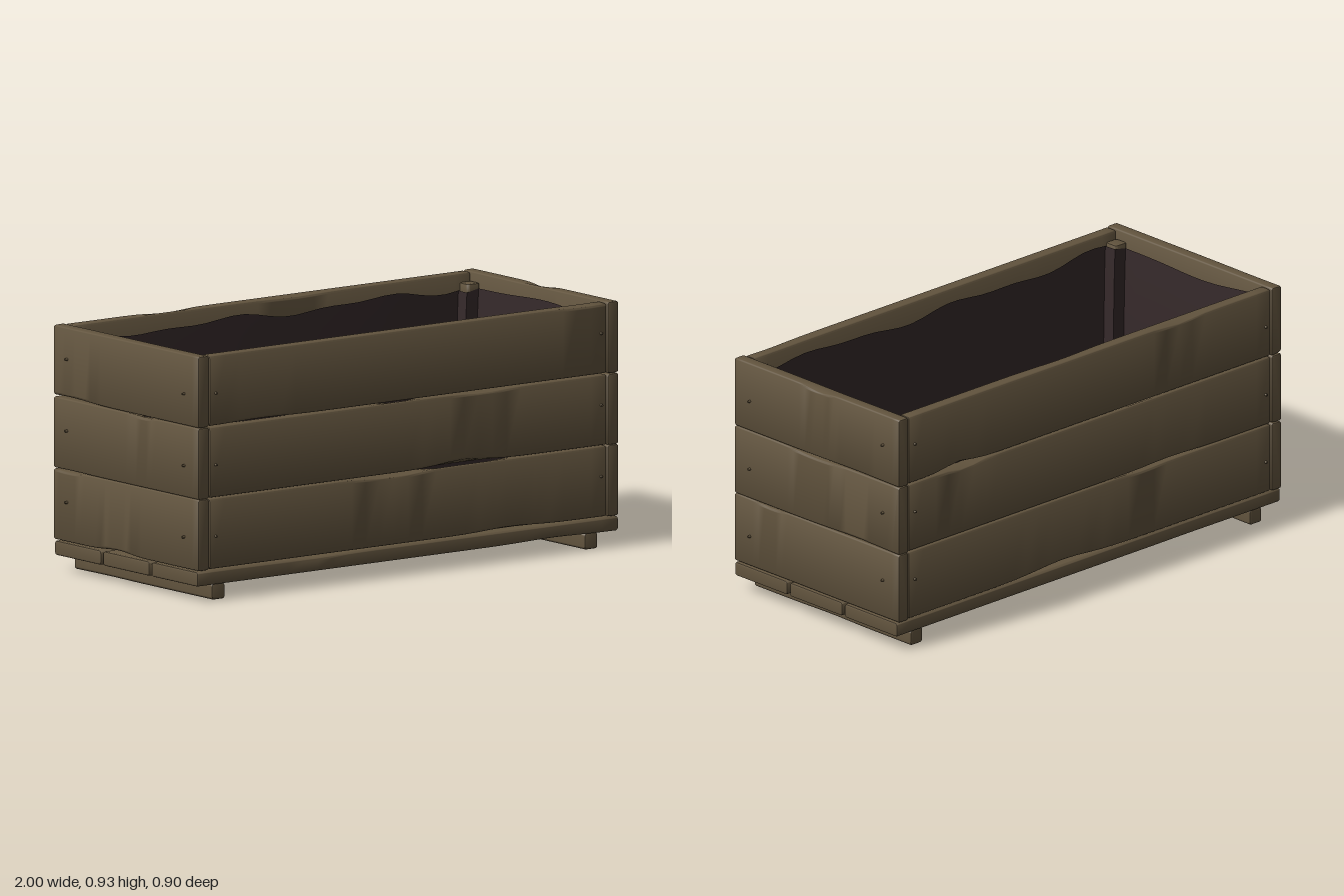
import * as THREE from 'three';
import { toCreasedNormals } from 'three/addons/utils/BufferGeometryUtils.js';

const wood = new THREE.MeshStandardMaterial({ color: 0x62543e });
wood.name = 'weathered wood';
const cloth = new THREE.MeshStandardMaterial({ color: 0x35292a, side: THREE.DoubleSide });
cloth.name = 'dark liner';

let seed = 7;
const rand = () => (seed = (seed * 16807) % 2147483647) / 2147483647;

// Board with softened edges, running along z, with slight hand-cut wear on its edges.
function plankGeometry(t, h, length, wear = 0.01) {
  const r = 0.011, b = 0.007, x = t / 2 - r, y = h / 2 - r;
  const s = new THREE.Shape();
  s.absarc(x, y, r, 0, Math.PI / 2);
  s.absarc(-x, y, r, Math.PI / 2, Math.PI);
  s.absarc(-x, -y, r, Math.PI, Math.PI * 1.5);
  s.absarc(x, -y, r, Math.PI * 1.5, Math.PI * 2);
  const g = new THREE.ExtrudeGeometry(s, {
    depth: length - 2 * b, steps: 28, curveSegments: 3,
    bevelSize: b, bevelThickness: b, bevelOffset: -b, bevelSegments: 2,
  });
  g.translate(0, 0, -length / 2 + b);
  // One worn patch on each of the four long edges
  const chips = [0, 1, 2, 3].map(() => ({
    at: (rand() - 0.5) * length * 0.9, width: 0.06 + rand() * 0.12, deep: wear * rand(),
  }));
  const p = g.attributes.position;
  for (let i = 0; i < p.count; i++) {
    const sx = Math.sign(p.getX(i)), sy = Math.sign(p.getY(i));
    const c = chips[(sx > 0 ? 1 : 0) + (sy > 0 ? 2 : 0)];
    const d = c.deep * Math.exp(-(((p.getZ(i) - c.at) / c.width) ** 2));
    p.setX(i, p.getX(i) - sx * d * 0.25);
    p.setY(i, p.getY(i) - sy * d);
  }
  return toCreasedNormals(g, 0.75);
}

function add(group, name, geometry, x, y, z, turn = 0, material = wood) {
  const m = new THREE.Mesh(geometry, material);
  m.name = name;
  m.position.set(x, y, z);
  m.rotation.y = turn;
  group.add(m);
  return m;
}

// Sagging liner that folds around the four corner posts
function linerGeometry() {
  const X = 0.925, Z = 0.382, px = 0.87, pz = 0.33;
  const corners = [
    [px, Z], [px, pz], [X, pz], [X, -pz], [px, -pz], [px, -Z],
    [-px, -Z], [-px, -pz], [-X, -pz], [-X, pz], [-px, pz], [-px, Z],
  ];
  const ring = [];
  corners.forEach(([x, z], i) => {
    const [x2, z2] = corners[(i + 1) % corners.length];
    const n = Math.max(2, Math.round(Math.hypot(x2 - x, z2 - z) / 0.06));
    for (let k = 0; k < n; k++) ring.push([x + (x2 - x) * k / n, z + (z2 - z) * k / n]);
  });
  // Height, inward scale and rim wave of each level
  const levels = [
    [0.875, 0, 1], [0.8, 0.006, 0.6], [0.6, 0.014, 0.3], [0.35, 0.022, 0],
    [0.18, 0.03, 0], [0.145, 0.05, 0], [0.135, 0.1, 0], [0.13, 1, 0],
  ];
  const pos = [], idx = [], N = ring.length;
  levels.forEach(([y, inset, wave], j) => {
    ring.forEach(([x, z], i) => {
      const sag = j < 7 ? 0.022 * Math.max(0, 1 - (x / 0.87) ** 2) * (Math.abs(z) > 0.36 ? 1 : 0) : 0;
      const ripple = Math.sin(x * 9 + z * 7) + 0.6 * Math.sin(x * 17 - z * 11);
      pos.push(
        x * (1 - inset),
        y + wave * 0.011 * ripple,
        (z - Math.sign(z) * sag) * (1 - inset),
      );
      if (j < levels.length - 1) {
        const a = j * N + i, b = j * N + (i + 1) % N;
        idx.push(a, b, a + N, b, b + N, a + N);
      }
    });
  });
  const g = new THREE.BufferGeometry();
  g.setAttribute('position', new THREE.Float32BufferAttribute(pos, 3));
  g.setIndex(idx);
  return toCreasedNormals(g, 0.9);
}

export function createModel() {
  seed = 7;
  const planter = new THREE.Group();
  planter.name = 'planter';
  const rows = [0.254, 0.524, 0.795];

  // Wall boards in three rows
  rows.forEach((y) => {
    for (const s of [1, -1]) {
      add(planter, 'sideBoard', plankGeometry(0.052, 0.266, 1.868, 0.016), 0, y, s * 0.415, -s * Math.PI / 2);
      add(planter, 'endBoard', plankGeometry(0.052, 0.27, 0.886), s * 0.963, y, 0);
    }
  });

  // Floor boards and the two runners under them
  for (const z of [0.298, 0.003, -0.292]) {
    add(planter, 'floorBoard', plankGeometry(0.282, 0.055, 1.98, 0.005), 0, 0.088, z, Math.PI / 2);
  }
  for (const s of [1, -1]) {
    add(planter, 'runner', plankGeometry(0.062, 0.062, 0.842, 0.005), s * 0.876, 0.031, 0);
  }

  // Corner posts
  for (const sx of [1, -1]) for (const sz of [1, -1]) {
    const post = add(planter, 'cornerPost', plankGeometry(0.058, 0.058, 0.78, 0.004), sx * 0.907, 0.505, sz * 0.362);
    post.rotation.x = Math.PI / 2;
  }

  // Screw heads, two to each board
  const screw = new THREE.CylinderGeometry(0.004, 0.007, 0.022, 10);
  screw.rotateZ(-Math.PI / 2);
  rows.forEach((y) => {
    for (const s of [1, -1]) for (const e of [1, -1]) {
      add(planter, 'endScrew', screw, s * 0.989, y + (e > 0 ? -0.015 : 0.015), e * 0.358, s > 0 ? 0 : Math.PI);
      add(planter, 'sideScrew', screw, e * 0.906, y + (e > 0 ? 0.02 : -0.01), s * 0.439, -s * Math.PI / 2);
    }
  });

  add(planter, 'liner', linerGeometry(), 0, 0, 0, 0, cloth);
  return planter;
}
